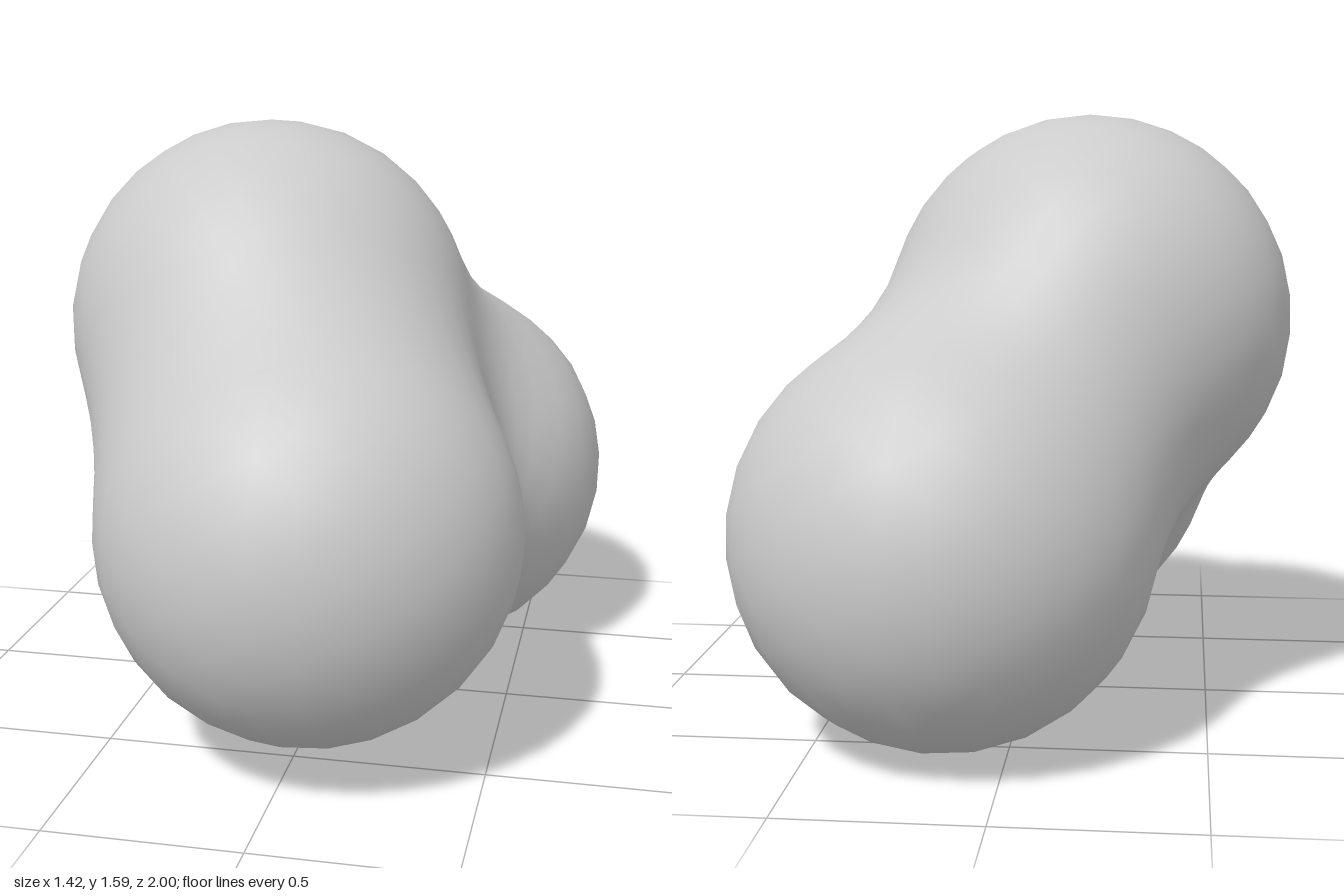
import * as THREE from 'three';
import { mergeVertices } from 'three/addons/utils/BufferGeometryUtils.js';

// Three equal soft balls that melt into each other
const LOBES = [
  new THREE.Vector3(-0.17, 1.05, 0),      // top
  new THREE.Vector3(0.035, 0.61, 0.46),   // front
  new THREE.Vector3(0.17, 0.54, -0.46),   // back
];
const LOBE_RADIUS = 0.543; // surface of a lone lobe
const REACH = 0.84;        // distance at which a lobe's pull ends

const falloff = (d2) => Math.max(0, 1 - d2 / (REACH * REACH)) ** 3;
const LEVEL = falloff(LOBE_RADIUS * LOBE_RADIUS);
const inside = (p) => LOBES.reduce((sum, c) => sum + falloff(p.distanceToSquared(c)), 0) > LEVEL;

// Distance from the core to the outer skin along a direction
function skinDistance(core, dir) {
  const p = new THREE.Vector3();
  const at = (t) => inside(p.copy(core).addScaledVector(dir, t));
  let hi = 1.4;
  while (hi > 0.02 && !at(hi - 0.01)) hi -= 0.01;
  let lo = hi - 0.01;
  for (let i = 0; i < 14; i++) {
    const mid = (lo + hi) / 2;
    if (at(mid)) lo = mid; else hi = mid;
  }
  return lo;
}

export function createModel() {
  const group = new THREE.Group();
  group.name = 'blendedBlob';

  // Push the points of a geodesic ball out to the blended skin
  let geometry = new THREE.IcosahedronGeometry(1, 8);
  geometry.deleteAttribute('uv');
  geometry.deleteAttribute('normal');
  geometry = mergeVertices(geometry, 1e-4);

  const core = new THREE.Vector3(0.01, 0.73, 0);
  const pos = geometry.attributes.position;
  const dir = new THREE.Vector3();
  for (let i = 0; i < pos.count; i++) {
    dir.fromBufferAttribute(pos, i).normalize();
    const t = skinDistance(core, dir);
    pos.setXYZ(i, core.x + dir.x * t, core.y + dir.y * t, core.z + dir.z * t);
  }
  geometry.computeVertexNormals();

  const body = new THREE.Mesh(geometry, new THREE.MeshStandardMaterial({ color: 0xcccccc }));
  body.name = 'threeLobedBody';
  group.add(body);
  return group;
}
